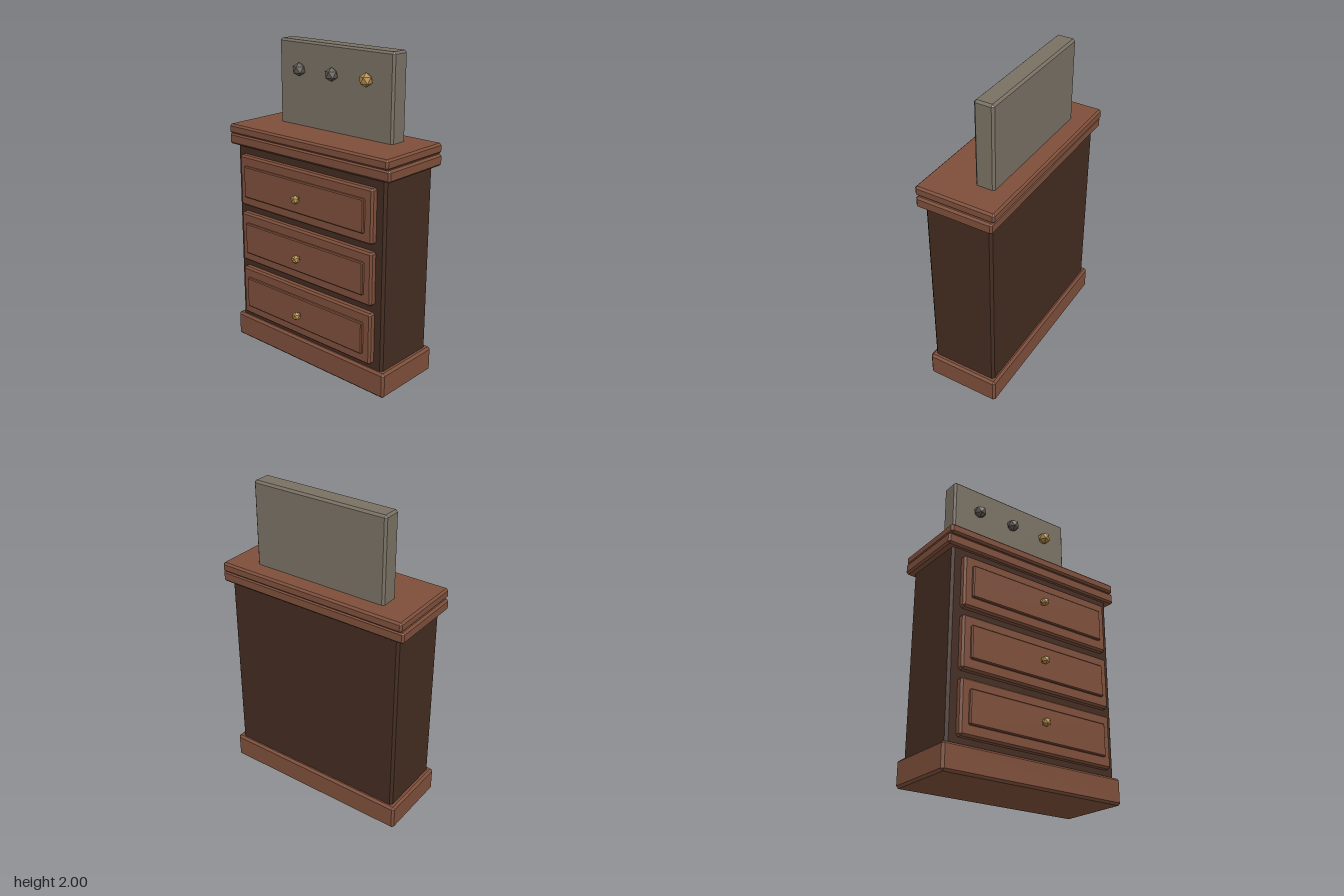
import * as THREE from 'three';
import { ConvexGeometry } from 'three/addons/geometries/ConvexGeometry.js';

const flat = (name, color) => {
  const m = new THREE.MeshStandardMaterial({ color });
  m.name = name;
  return m;
};

// Box between two corners with every edge cut at 45 degrees
function chamferBox(min, max, c) {
  const centre = min.map((v, i) => (v + max[i]) / 2);
  const half = max.map((v, i) => (v - min[i]) / 2);
  const points = [];
  for (const sx of [-1, 1]) for (const sy of [-1, 1]) for (const sz of [-1, 1]) {
    for (let full = 0; full < 3; full++) {
      const p = [sx, sy, sz].map((s, i) => s * (half[i] - (i === full ? 0 : c)));
      points.push(new THREE.Vector3(...p));
    }
  }
  return new ConvexGeometry(points).translate(...centre);
}

// Faceted ball with one corner pointing straight up
function facetedBall(radius) {
  return new THREE.IcosahedronGeometry(radius, 0).rotateZ(-Math.atan(2 / (1 + Math.sqrt(5))));
}

export function createModel() {
  const group = new THREE.Group();
  group.name = 'chestOfDrawers';

  const wood = flat('reddish wood', 0x7d4e3a);
  const darkWood = flat('dark wood', 0x432c21);
  const stone = flat('grey board', 0x787063);
  const iron = flat('dark iron', 0x625b54);
  const brass = flat('brass', 0xb08a46);

  const add = (name, geometry, material, x = 0, y = 0, z = 0) => {
    const mesh = new THREE.Mesh(geometry, material);
    mesh.name = name;
    mesh.position.set(x, y, z);
    group.add(mesh);
  };

  // Carcass, plinth and two-layer top
  add('carcass', chamferBox([-0.6, 0.01, -0.258], [0.6, 1.36, 0.175], 0.015), darkWood);
  add('plinth', chamferBox([-0.63, 0, -0.281], [0.63, 0.163, 0.197], 0.014), wood);
  add('topMoulding', chamferBox([-0.645, 1.343, -0.288], [0.645, 1.414, 0.204], 0.012), wood);
  add('topSlab', chamferBox([-0.635, 1.414, -0.298], [0.635, 1.475, 0.213], 0.012), wood);

  // Three drawers, each with a raised panel and a knob
  for (const y of [0.367, 0.747, 1.127]) {
    add('drawerFront', chamferBox([-0.54, -0.166, 0.165], [0.54, 0.166, 0.217], 0.012), wood, 0, y);
    add('drawerPanel', chamferBox([-0.488, -0.102, 0.2], [0.488, 0.102, 0.235], 0.006), wood, 0, y);
    add('drawerKnob', facetedBall(0.029), brass, 0, y, 0.275);
  }

  // Upright board with three pegs
  add('backBoard', chamferBox([-0.45, 1.46, -0.186], [0.45, 2, -0.063], 0.013), stone);
  [-0.265, 0, 0.265].forEach((x, i) => {
    add('boardPeg', facetedBall(0.043), i === 2 ? brass : iron, x, 1.827, -0.042);
  });

  return group;
}
